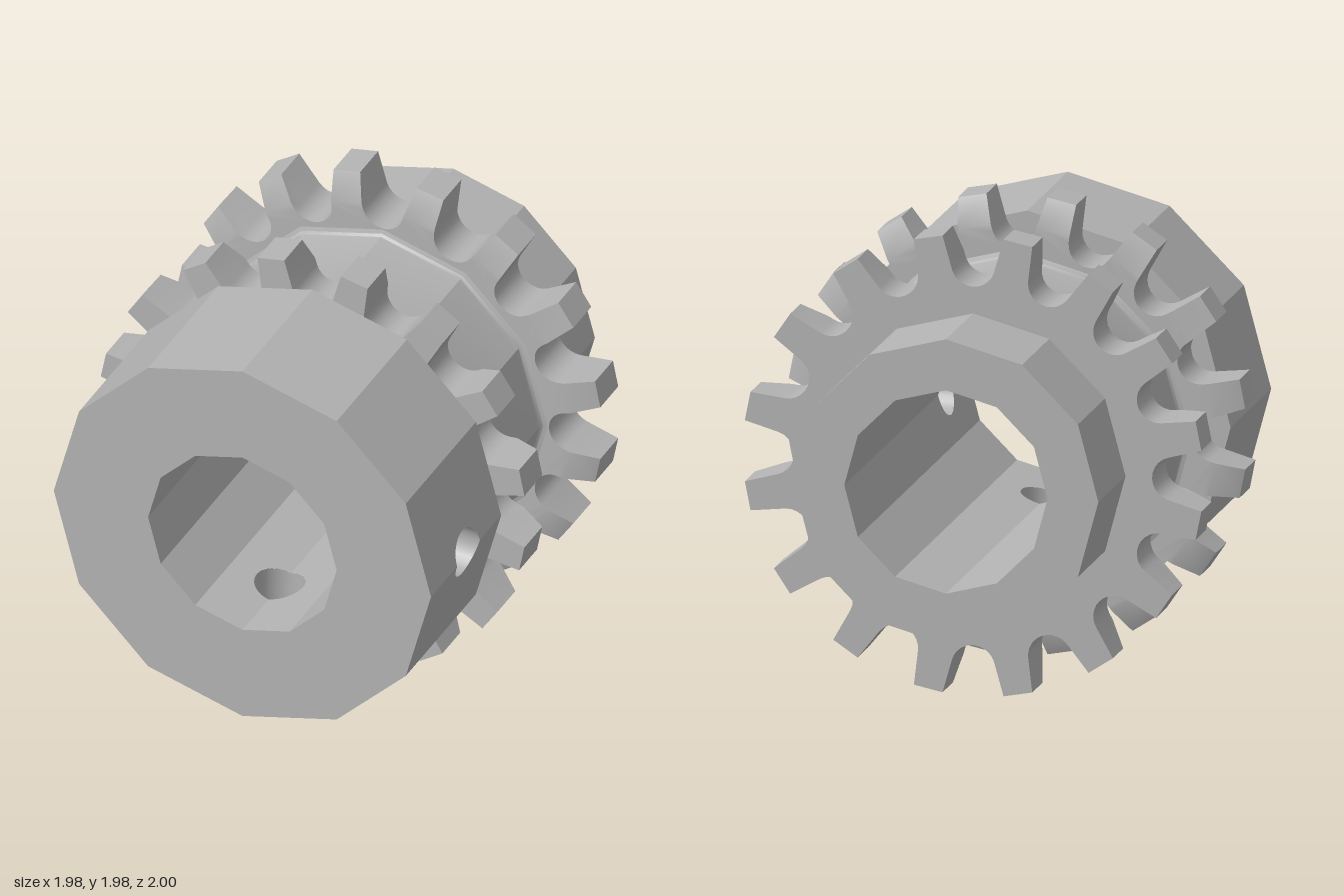
import * as THREE from 'three';
import { mergeGeometries, toCreasedNormals } from 'three/addons/utils/BufferGeometryUtils.js';

const SIDES = 12, TEETH = 16, BORE = 0.44, HUB = 0.88, BACK_HUB = 0.66;
const HOLE_R = 0.108, HOLE_Z = 0.645, TAN = Math.tan(Math.PI / SIDES);

// Regular polygon outline with a corner on +x
const polygon = (r) => Array.from({ length: SIDES }, (_, i) => {
  const a = (i / SIDES) * Math.PI * 2;
  return new THREE.Vector2(r * Math.cos(a), r * Math.sin(a));
});

// Skin between closed rings of Vector3
function loft(rings) {
  const n = rings[0].length, index = [];
  for (let j = 0; j < rings.length - 1; j++) {
    for (let i = 0; i < n; i++) {
      const a = j * n + i, b = j * n + ((i + 1) % n);
      index.push(a, a + n, b, b, a + n, b + n);
    }
  }
  const g = new THREE.BufferGeometry().setFromPoints(rings.flat());
  g.setIndex(index);
  return g;
}

// Flat face with a hole, facing +z or -z
function ringFace(outer, inner, z, back = false) {
  const s = new THREE.Shape(outer);
  s.holes.push(new THREE.Path(inner));
  const g = new THREE.ShapeGeometry(s);
  if (back) g.rotateY(Math.PI);
  return g.translate(0, 0, z);
}

// Faceted wall; screw holes cut the corners at +x and -y
function wall(r, z0, z1, inward = false, holes = false) {
  const pts = polygon(r), parts = [];
  for (let i = 0; i < SIDES; i++) {
    const a = pts[i], b = pts[(i + 1) % SIDES], len = a.distanceTo(b);
    const rx = HOLE_R * Math.sqrt(1 + TAN * TAN);
    const s = new THREE.Shape();
    s.moveTo(0, z0);
    s.lineTo(len, z0);
    if (holes && (i === 11 || i === 8)) s.absellipse(len, HOLE_Z, rx, HOLE_R, -Math.PI / 2, Math.PI / 2, true);
    s.lineTo(len, z1);
    s.lineTo(0, z1);
    if (holes && (i === 0 || i === 9)) s.absellipse(0, HOLE_Z, rx, HOLE_R, Math.PI / 2, -Math.PI / 2, true);
    const g = new THREE.ShapeGeometry(s, 12), p = g.attributes.position;
    for (let k = 0; k < p.count; k++) {
      const t = p.getX(k) / len;
      p.setXYZ(k, a.x + (b.x - a.x) * t, a.y + (b.y - a.y) * t, p.getY(k));
    }
    if (inward) g.index.array.reverse();
    parts.push(g);
  }
  return parts;
}

// Sprocket outline: round gullets and tapered teeth; reach shortens the teeth
function gearOutline(reach) {
  const pts = [], step = (Math.PI * 2) / TEETH, c = 0.87, r = 0.095;
  const tip = [0.988, 0.132], a0 = THREE.MathUtils.degToRad(107), n = 10;
  for (let k = 0; k < TEETH; k++) {
    const local = [];
    for (let i = 0; i <= n; i++) {
      const a = 2 * Math.PI - a0 + (i / n) * (2 * a0 - 2 * Math.PI);
      local.push([c + r * Math.cos(a), r * Math.sin(a)]);
    }
    const end = local[n];
    const x = end[0] + (tip[0] - end[0]) * reach, y = end[1] + (tip[1] - end[1]) * reach;
    local.unshift([x, -y]);
    local.push([x, y]);
    for (const [u, v] of local) pts.push(new THREE.Vector2(u, v).rotateAround(new THREE.Vector2(), k * step));
  }
  return pts;
}

// Toothed disc: flat at z = 0, teeth bevelled at the far side
function sprocket(innerRadius) {
  const full = gearOutline(1), cut = gearOutline(0.2);
  const at = (pts, z) => pts.map((p) => new THREE.Vector3(p.x, p.y, z));
  const mirrored = cut.map((p) => new THREE.Vector2(-p.x, p.y)).reverse();
  return [
    loft([at(full, 0), at(full, -0.17), at(cut, -0.225)]),
    ringFace(full, polygon(innerRadius), 0),
    ringFace(mirrored, polygon(0.76), -0.225, true),
  ];
}

// Radial screw hole running from the bore to the hub surface
function screwHole(turn) {
  const ring = (R) => Array.from({ length: 24 }, (_, i) => {
    const a = (i / 24) * Math.PI * 2, t = HOLE_R * Math.cos(a);
    return new THREE.Vector3(R - Math.abs(t) * TAN, t, HOLE_Z + HOLE_R * Math.sin(a));
  });
  return loft([ring(BORE), ring(HUB)]).rotateZ(turn);
}

export function createModel() {
  const group = new THREE.Group();
  const steel = new THREE.MeshStandardMaterial({ color: 0xb3b3b3 });
  steel.name = 'steel grey';

  const body = new THREE.Group();
  body.name = 'doubleSprocket';
  body.position.y = 0.99;
  group.add(body);

  const add = (name, parts) => {
    const clean = parts.map((g) => {
      g.deleteAttribute('uv');
      g.deleteAttribute('normal');
      return g.toNonIndexed();
    });
    const mesh = new THREE.Mesh(toCreasedNormals(mergeGeometries(clean), 0.45), steel);
    mesh.name = name;
    body.add(mesh);
    return mesh;
  };

  // Hubs and the bore through them
  add('frontHub', [
    ...wall(HUB, 0.335, 1, false, true),
    ringFace(polygon(HUB), polygon(BORE), 1),
    ringFace(polygon(HUB), polygon(0.74), 0.335, true),
  ]);
  add('backHub', [
    ...wall(BACK_HUB, -1, -0.555),
    ringFace(polygon(BACK_HUB), polygon(BORE), -1, true),
  ]);
  add('bore', wall(BORE, -1, 1, true, true));
  add('sideScrewHole', [screwHole(0)]);
  add('bottomScrewHole', [screwHole(-Math.PI / 2)]);

  // Toothed discs facing away from each other
  add('frontSprocket', sprocket(0.74)).position.z = 0.335;
  const back = add('backSprocket', sprocket(BACK_HUB));
  back.position.z = -0.555;
  back.rotation.y = Math.PI;

  // Groove with small fillets between the discs
  const profile = [[0.77, 0.11], [0.752, 0.104], [0.743, 0.092], [0.74, 0.075],
    [0.74, -0.295], [0.743, -0.312], [0.752, -0.324], [0.77, -0.33]];
  add('groove', [loft(profile.map(([r, z]) => polygon(r).map((p) => new THREE.Vector3(p.x, p.y, z))))]);

  return group;
}
